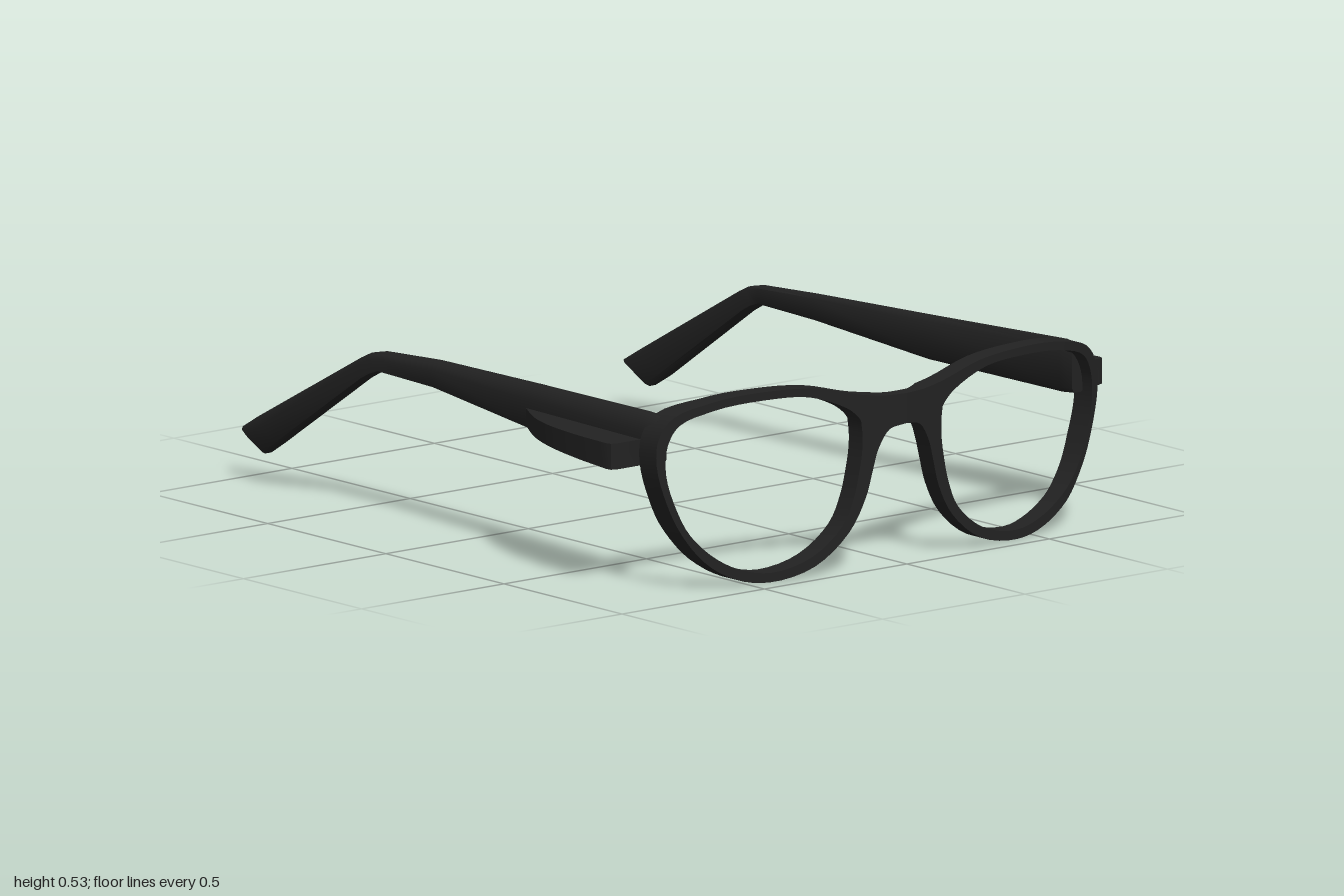
import * as THREE from 'three';
import { toCreasedNormals } from 'three/addons/utils/BufferGeometryUtils.js';

const black = new THREE.MeshStandardMaterial({ color: 0x222222 });

function mesh(name, geometry, crease) {
  const m = new THREE.Mesh(toCreasedNormals(geometry, crease), black);
  m.name = name;
  return m;
}

// Skin over rings of [x, y, z]; a loop joins its last ring to the first, otherwise the ends are capped
function loft(rings, loop) {
  const n = rings[0].length, count = rings.length, index = [];
  for (let i = 0; i < (loop ? count : count - 1); i++) {
    const r = i * n, s = ((i + 1) % count) * n;
    for (let j = 0; j < n; j++) {
      const k = (j + 1) % n;
      index.push(r + j, r + k, s + k, r + j, s + k, s + j);
    }
  }
  const last = (count - 1) * n;
  if (!loop) for (let j = 1; j < n - 1; j++) index.push(0, j + 1, j, last, last + j, last + j + 1);
  const g = new THREE.BufferGeometry();
  g.setAttribute('position', new THREE.Float32BufferAttribute(rings.flat(2), 3));
  g.setIndex(index);
  return g;
}

// Piecewise linear lookup in [key, value] pairs
function lookup(table, k) {
  for (let i = 1; i < table.length; i++) {
    const [k0, v0] = table[i - 1], [k1, v1] = table[i];
    if (k <= k1) return v0 + (v1 - v0) * (k - k0) / (k1 - k0);
  }
  return table[table.length - 1][1];
}

const curveThrough = points =>
  new THREE.CatmullRomCurve3(points.map(([a, b]) => new THREE.Vector3(a, b, 0)));

// One half of the front, around the lens from the top of the bridge to its underside:
// [outer distance from centre, outer height, lens edge distance, lens edge height]
const RIM = [
  [0, 0.476, 0.143, 0.415], [0.07, 0.477, 0.155, 0.43], [0.147, 0.488, 0.19, 0.456],
  [0.29, 0.522, 0.31, 0.5], [0.46, 0.531, 0.45, 0.508], [0.61, 0.52, 0.61, 0.496],
  [0.725, 0.488, 0.71, 0.464], [0.767, 0.435, 0.743, 0.41], [0.774, 0.36, 0.747, 0.33],
  [0.745, 0.25, 0.719, 0.235], [0.705, 0.165, 0.68, 0.16], [0.635, 0.078, 0.618, 0.098],
  [0.54, 0.022, 0.53, 0.049], [0.435, 0.003, 0.43, 0.029], [0.29, 0.03, 0.3, 0.057],
  [0.18, 0.112, 0.203, 0.13], [0.128, 0.2, 0.166, 0.205], [0.105, 0.277, 0.148, 0.277],
  [0.088, 0.332, 0.14, 0.325], [0.053, 0.382, 0.138, 0.36], [0, 0.393, 0.139, 0.385],
];
// Wrap of the front and back faces: [distance from centre, x]
const FRONT = [[0, 1], [0.13, 0.98], [0.4, 0.95], [0.64, 0.912], [0.72, 0.89], [0.78, 0.872]];
const BACK = [[0, 0.958], [0.04, 0.955], [0.09, 0.926], [0.45, 0.885], [0.61, 0.855], [0.72, 0.812], [0.78, 0.8]];

function rimHalf(side) {
  const outer = curveThrough(RIM.map(r => r.slice(0, 2)));
  const inner = curveThrough(RIM.map(r => r.slice(2)));
  const across = [0, 0.29, 0.64, 1], samples = 80, rings = [];
  for (let i = 0; i <= samples; i++) {
    const a = outer.getPoint(i / samples), b = inner.getPoint(i / samples);
    const face = wrap => across.map(t => {
      const p = a.clone().lerp(b, t);
      return [lookup(wrap, p.x), p.y, side * p.x];
    });
    const ring = [...face(BACK), ...face(FRONT).reverse()];
    rings.push(side > 0 ? ring : ring.reverse());
  }
  return mesh('rimHalf', loft(rings, true), 0.7);
}

// Temple sections, tip to hinge: [top x, top y, bottom x, bottom y, inner z, outer z]
const TEMPLE = [
  [-1, 0.143, -0.89, 0.088, 0.657, 0.69],
  [-0.93, 0.183, -0.83, 0.125, 0.656, 0.698],
  [-0.5, 0.417, -0.475, 0.363, 0.646, 0.695],
  [-0.46, 0.436, -0.44, 0.382, 0.645, 0.694],
  [-0.41, 0.447, -0.405, 0.395, 0.644, 0.693],
  [-0.18, 0.461, -0.18, 0.39, 0.645, 0.693],
  [0.27, 0.474, 0.27, 0.354, 0.67, 0.724],
  [0.79, 0.489, 0.79, 0.345, 0.71, 0.764],
  [0.84, 0.484, 0.84, 0.35, 0.712, 0.752],
];
// Rounded section of a temple: [across from the inner face, down from the top]
const SECTION = [[0.2, 0], [0.5, 0], [0.85, 0.1], [1, 0.32], [1, 0.95], [0.85, 1], [0.2, 1], [0, 0.9], [0, 0.12]];

function temple(side) {
  const rings = TEMPLE.map(([tx, ty, bx, by, zi, zo]) => {
    const ring = SECTION.map(([a, d]) => [tx + (bx - tx) * d, ty + (by - ty) * d, side * (zi + (zo - zi) * a)]);
    return side > 0 ? ring : ring.reverse();
  });
  return mesh('temple', loft(rings, false), 1);
}

// Curved fin standing out from the outer face of the temple
function sideFin(side) {
  const edge = curveThrough([[0.25, 0.718], [0.377, 0.79], [0.48, 0.826], [0.62, 0.852], [0.77, 0.866]]);
  const outline = [
    ...edge.getPoints(16).map(p => [p.x, p.y]),
    [0.787, 0.862], [0.793, 0.845], [0.793, 0.74], [0.27, 0.7],
  ].map(([x, z]) => new THREE.Vector2(x, side * z));
  const g = new THREE.ExtrudeGeometry(new THREE.Shape(outline), { depth: 0.072, bevelEnabled: false });
  g.rotateX(Math.PI / 2);
  g.translate(0, 0.419, 0);
  // Thin the fin towards the rear
  const p = g.attributes.position;
  for (let i = 0; i < p.count; i++) {
    const back = 0.793 - p.getX(i);
    p.setY(i, p.getY(i) + back * (p.getY(i) < 0.38 ? 0.03 : -0.015));
  }
  return mesh('sideFin', g, 0.6);
}

export function createModel() {
  const model = new THREE.Group();
  model.name = 'glasses';
  const front = new THREE.Group();
  front.name = 'frontFrame';
  model.add(front);
  // The frame faces +x, so the wearer's right is +z
  for (const side of [1, -1]) {
    front.add(rimHalf(side));
    const arm = new THREE.Group();
    arm.name = side > 0 ? 'rightArm' : 'leftArm';
    arm.add(temple(side), sideFin(side));
    model.add(arm);
  }
  return model;
}
